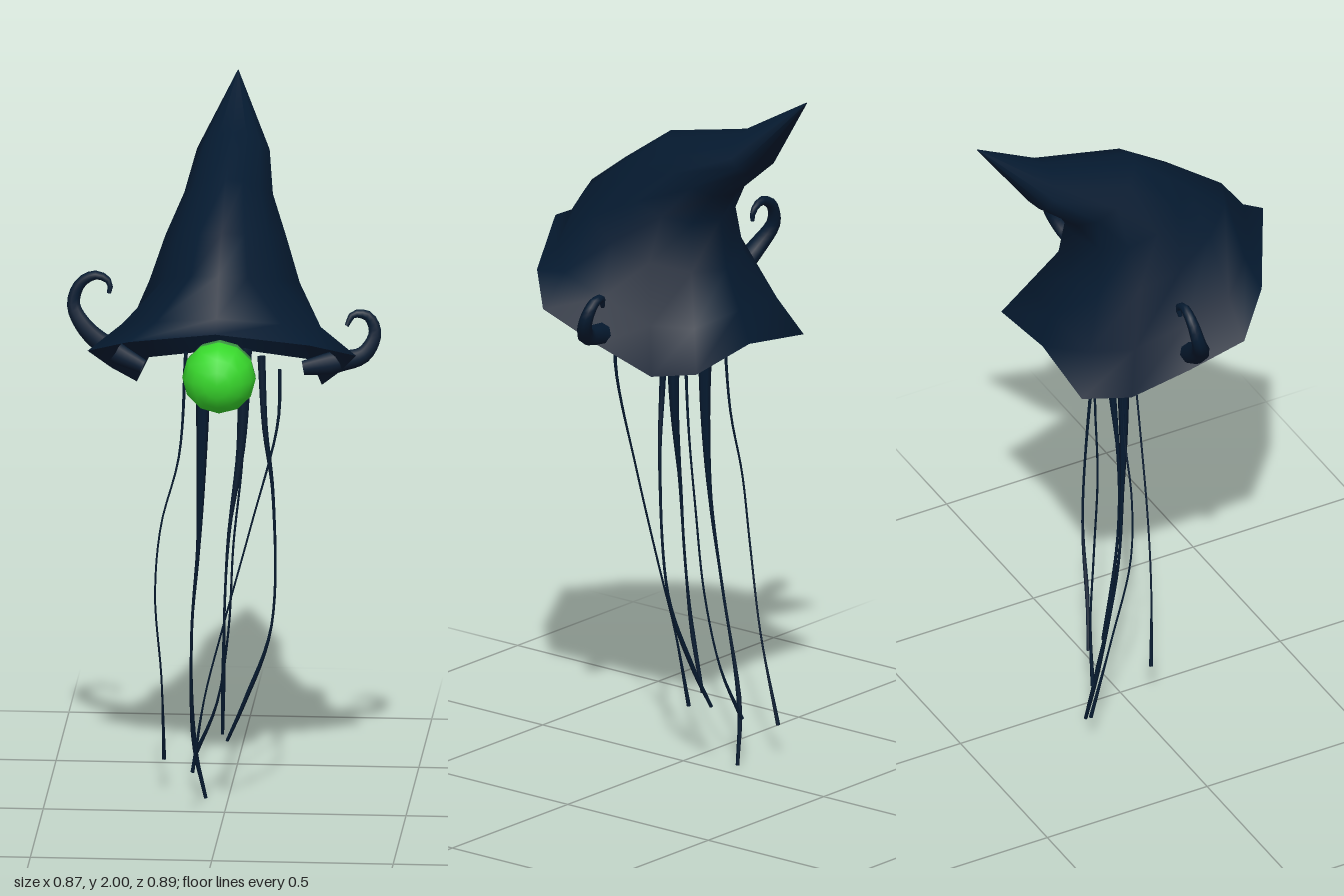
import * as THREE from 'three';

const V = (p) => new THREE.Vector3(...p);

export function createModel() {
  const model = new THREE.Group();
  const navy = new THREE.MeshStandardMaterial({ color: 0x051a30, side: THREE.DoubleSide });
  navy.name = 'navy';
  const green = new THREE.MeshStandardMaterial({ color: 0x38d82c });
  green.name = 'brightGreen';
  const dullGreen = new THREE.MeshStandardMaterial({ color: 0x3f9a45 });
  dullGreen.name = 'dullGreen';
  const stalkGreen = new THREE.MeshStandardMaterial({ color: 0x2c4a3c });
  stalkGreen.name = 'darkGreen';

  const add = (name, geometry, material) => {
    const mesh = new THREE.Mesh(geometry, material);
    mesh.name = name;
    model.add(mesh);
    return mesh;
  };

  // Tube along points whose radius follows a list of values from start to end
  const taperedTube = (points, radii, segments, sides) => {
    const path = new THREE.CatmullRomCurve3(points.map(V));
    const geo = new THREE.TubeGeometry(path, segments, 1, sides);
    const pos = geo.attributes.position;
    const v = new THREE.Vector3();
    for (let row = 0; row <= segments; row++) {
      const t = row / segments;
      const centre = path.getPointAt(t);
      const f = t * (radii.length - 1);
      const k = Math.min(Math.floor(f), radii.length - 2);
      const r = THREE.MathUtils.lerp(radii[k], radii[k + 1], f - k);
      for (let j = 0; j <= sides; j++) {
        const i = row * (sides + 1) + j;
        v.fromBufferAttribute(pos, i).sub(centre).multiplyScalar(r).add(centre);
        pos.setXYZ(i, v.x, v.y, v.z);
      }
    }
    return geo;
  };

  // Hat: angular brim, lip, then tilted rings, narrower in front, bending back to the tip
  const N = 12;
  const half = [
    [0, 1.49, 0.45], [0.25, 1.425, 0.31], [0.37, 1.365, 0.19], [0.315, 1.28, 0.05],
    [0.255, 1.2, -0.1], [0.232, 1.23, -0.243], [0, 1.26, -0.24],
  ];
  const brim = [];
  for (let i = 0; i < N; i++) {
    const p = V(half[i <= 6 ? i : N - i]);
    if (i > 6) p.x *= -1;
    brim.push(p);
  }
  // front z, front y, back z, back y, half width
  const ovals = [
    [0.32, 1.62, -0.16, 1.46, 0.207],
    [0.2, 1.71, -0.138, 1.6, 0.167],
    [0.04, 1.82, -0.185, 1.68, 0.122],
    [-0.23, 1.88, -0.285, 1.77, 0.1],
    [-0.443, 2.0, -0.445, 1.998, 0.001],
  ].map(([fz, fy, bz, by, w]) => brim.map((_, i) => {
    const a = (i / N) * Math.PI * 2;
    const c = Math.cos(a);
    const t = (1 - c) / 2;
    const shape = 1 - (c > 0 ? 0.28 : 0.12) * c;
    return new THREE.Vector3(w * Math.sin(a) * shape,
      THREE.MathUtils.lerp(fy, by, t), THREE.MathUtils.lerp(fz, bz, t));
  }));
  const lip = brim.map((p, i) => {
    const q = p.clone().lerp(ovals[0][i], 0.45);
    q.y -= 0.03 * Math.max(0, Math.cos((i / N) * Math.PI * 2));
    return q;
  });
  const rings = [brim, lip, ...ovals];
  const index = [];
  for (let r = 0; r < rings.length - 1; r++) {
    for (let i = 0; i < N; i++) {
      const a = r * N + i, b = r * N + (i + 1) % N;
      index.push(a, b, b + N, a, b + N, a + N);
    }
  }
  const hatGeo = new THREE.BufferGeometry().setFromPoints(rings.flat());
  hatGeo.setIndex(index);
  hatGeo.computeVertexNormals();
  add('hat', hatGeo, navy).position.x = 0.006;

  // Single eye: bright front half, duller rear half, on a stalk inside the hat
  const seam = 1.47;
  const halfEye = (name, start, length, material) => {
    const geo = new THREE.SphereGeometry(0.102, 12, 4, 0, Math.PI * 2, start, length);
    geo.rotateX(Math.PI / 2);
    add(name, geo, material).position.set(0.005, 1.322, 0.278);
  };
  halfEye('eyeFront', 0, seam, green);
  halfEye('eyeBack', seam, Math.PI - seam, dullGreen);
  add('eyeStalk', taperedTube(
    [[0, 1.335, 0.2], [0, 1.315, 0.15], [0, 1.31, 0.11], [0, 1.32, 0.06]],
    [0.03, 0.034, 0.04, 0.03, 0.002], 12, 8), stalkGreen);

  // Curled feelers on both sides, the right one taller
  add('rightCurl', taperedTube([
    [-0.22, 1.29, 0.07], [-0.31, 1.335, 0.06], [-0.38, 1.39, 0.045], [-0.415, 1.45, 0.02],
    [-0.395, 1.51, 0.01], [-0.35, 1.532, 0.01], [-0.315, 1.51, 0.01], [-0.318, 1.482, 0.015],
  ], [0.02, 0.032, 0.026, 0.019, 0.014, 0.006], 24, 8), navy);
  add('leftCurl', taperedTube([
    [0.22, 1.29, 0.055], [0.32, 1.308, 0.045], [0.385, 1.325, 0.03], [0.415, 1.38, 0.005],
    [0.395, 1.425, -0.005], [0.355, 1.43, 0], [0.337, 1.4, 0.01],
  ], [0.02, 0.032, 0.026, 0.02, 0.015, 0.006], 24, 8), navy);

  // Trailing tentacles hanging from inside the hat
  const thin = [0.006, 0.004, 0.003, 0.003, 0.003, 0.003, 0.006];
  const medium = [0.012, 0.009, 0.005, 0.004, 0.004, 0.007, 0.005];
  const thick = [0.022, 0.018, 0.012, 0.006, 0.004, 0.004, 0.007, 0.005];
  const tentacles = [
    [thin, [[0.16, 1.3, 0.112], [0.155, 1.15, 0.112], [0.08, 0.85, 0.102], [0, 0.55, 0.087], [-0.05, 0.35, 0.07], [-0.085, 0.13, 0.05]]],
    [thick, [[0.055, 1.32, -0.01], [0.045, 1.05, -0.005], [0.012, 0.8, 0], [0, 0.6, -0.005], [-0.005, 0.4, -0.025], [-0.01, 0.21, -0.06]]],
    [medium, [[0.1, 1.3, -0.02], [0.11, 1.1, -0.015], [0.132, 0.9, -0.025], [0.125, 0.52, -0.05], [0.05, 0.3, -0.075], [0, 0.18, -0.1]]],
    [thin, [[-0.11, 1.3, -0.05], [-0.13, 1.0, -0.06], [-0.18, 0.8, -0.062], [-0.197, 0.6, -0.075], [-0.183, 0.35, -0.125], [-0.18, 0.1, -0.19]]],
    [thick, [[-0.06, 1.32, -0.03], [-0.065, 1.0, -0.025], [-0.075, 0.75, -0.035], [-0.095, 0.5, -0.06], [-0.092, 0.16, -0.125], [-0.062, 0.004, -0.142]]],
    [thin, [[0.05, 1.3, -0.045], [0.045, 1.0, -0.055], [0.02, 0.75, -0.06], [0.005, 0.5, -0.08], [-0.03, 0.28, -0.11], [-0.09, 0.13, -0.135]]],
  ];
  tentacles.forEach(([radii, points], i) =>
    add(`tentacle${i + 1}`, taperedTube(points, radii, 28, 6), navy));

  return model;
}
